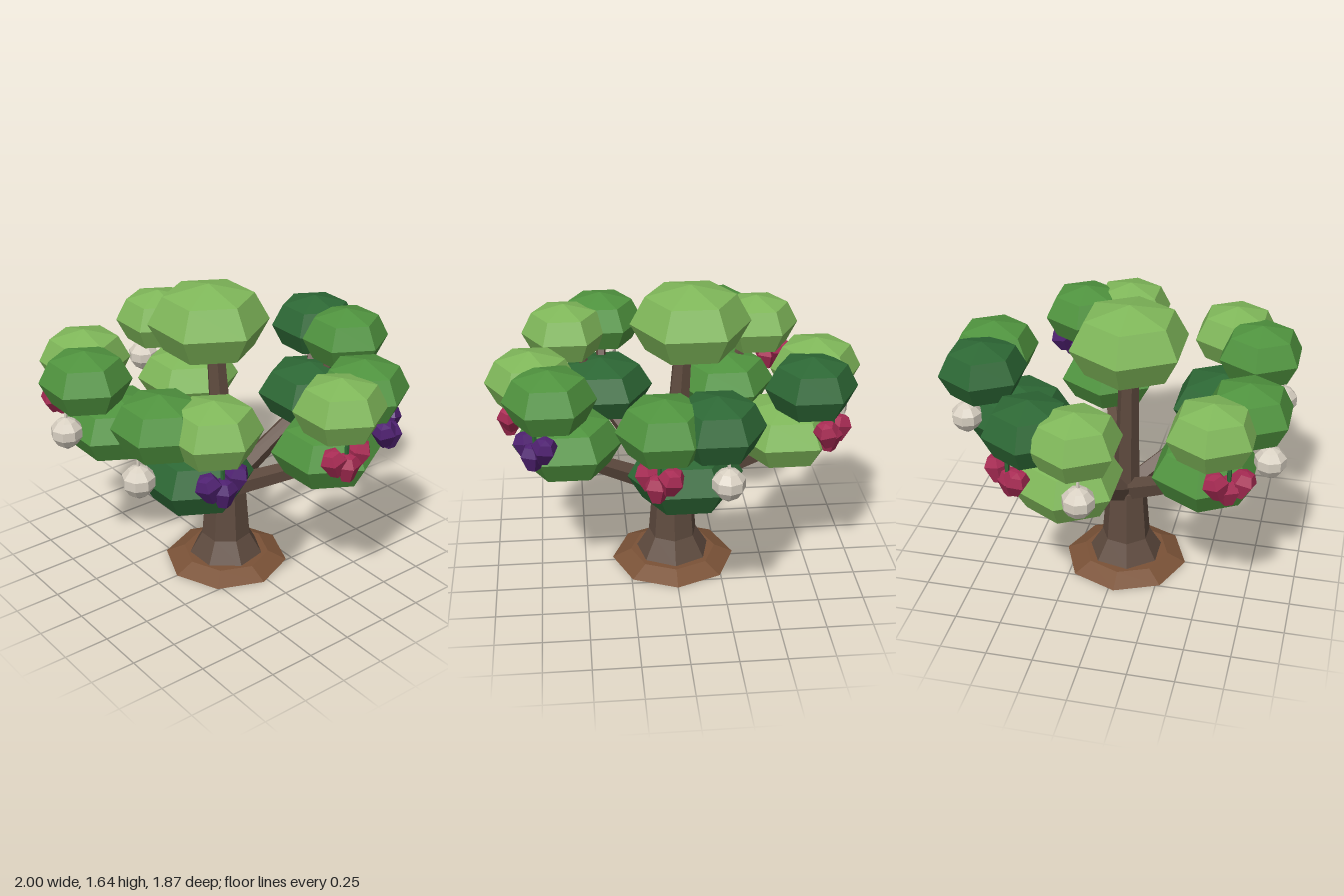
import * as THREE from 'three';

const mat = (name, hex) => {
  const m = new THREE.MeshStandardMaterial({ color: hex });
  m.name = name;
  return m;
};

// Faceted lathe from [radius, height] pairs, listed bottom to top
function facetedLathe(profile, sides, start = 0) {
  const pts = profile.map(([r, y]) => new THREE.Vector2(r, y));
  const g = new THREE.LatheGeometry(pts, sides, start).toNonIndexed();
  g.computeVertexNormals();
  return g;
}

export function createModel() {
  const tree = new THREE.Group();
  tree.name = 'fruitTree';

  const bark = mat('bark', 0x5f4b3f);
  const soil = mat('soil', 0x7a5237);
  const leaf = {
    light: mat('lightLeaf', 0x80b85a),
    mid: mat('midLeaf', 0x50943f),
    dark: mat('darkLeaf', 0x2d6835),
  };
  const fruit = {
    red: mat('redFruit', 0xa82b54),
    purple: mat('purpleFruit', 0x4f2171),
    white: mat('paleFruit', 0xd8d0c2),
  };

  const add = (name, geo, material, parent = tree) => {
    const m = new THREE.Mesh(geo, material);
    m.name = name;
    parent.add(m);
    return m;
  };

  // Tapered faceted limb between two points
  const up = new THREE.Vector3(0, 1, 0);
  const limb = (name, from, to, r0, r1, sides, material, parent = tree) => {
    const a = new THREE.Vector3(...from), b = new THREE.Vector3(...to);
    const d = b.clone().sub(a);
    const g = new THREE.CylinderGeometry(r1, r0, d.length(), sides).toNonIndexed();
    g.computeVertexNormals();
    const m = add(name, g, material, parent);
    m.position.copy(a).add(b).multiplyScalar(0.5);
    m.quaternion.setFromUnitVectors(up, d.normalize());
  };

  // Ground mound and flared trunk
  const cz = 0.03;
  add('mound', facetedLathe([[0, 0], [0.345, 0], [0.24, 0.05], [0, 0.05]], 8), soil).position.z = cz;
  add('trunk', facetedLathe([[0.21, 0.045], [0.137, 0.17], [0.112, 0.48], [0, 0.5]], 7, Math.PI), bark).position.z = cz;
  limb('centralLimb', [0, 0.44, cz], [-0.06, 1.32, 0.055], 0.075, 0.05, 6, bark);

  // Six-sided leaf clump
  const clumpGeo = facetedLathe([[0, -1], [0.75, -0.71], [1, 0], [0.75, 0.71], [0, 1]], 6, Math.PI / 6);
  const clump = (name, shade, x, y, z, r, h) => {
    const m = add(name, clumpGeo, leaf[shade]);
    m.position.set(x, y, z);
    m.scale.set(r, h, r);
  };
  clump('crown', 'light', -0.1, 1.428, 0.065, 0.325, 0.212);

  // Each bough: one big lower clump [shade, x, z] and two smaller upper clumps
  const boughs = [
    { low: ['dark', -0.01, -0.575], tops: [['dark', -0.15, -0.72], ['mid', 0.105, -0.73]] },
    { low: ['light', -0.59, -0.145], tops: [['dark', -0.69, -0.31], ['light', -0.757, -0.06]] },
    { low: ['mid', -0.34, 0.52], tops: [['light', -0.53, 0.575], ['mid', -0.29, 0.72]] },
    { low: ['dark', 0.37, 0.5], tops: [['light', 0.57, 0.535], ['mid', 0.36, 0.7]] },
    { low: ['mid', 0.575, -0.19], tops: [['mid', 0.66, -0.35], ['light', 0.753, -0.11]] },
  ];
  for (const { low: [shade, x, z], tops } of boughs) {
    limb('limb', [x * 0.03, 0.46, cz], [x, 0.8, z], 0.065, 0.045, 5, bark);
    clump('lowerClump', shade, x, 0.872, z, 0.293, 0.177);
    for (const [s, tx, tz] of tops) {
      limb('twig', [x, 0.84, z], [tx, 1.2, tz], 0.035, 0.025, 5, bark);
      clump('upperClump', s, tx, 1.2, tz, 0.243, 0.17);
    }
  }

  // Pale single fruits hanging on thin stems
  const paleGeo = facetedLathe(
    [[0, -0.1], [0.055, -0.062], [0.083, -0.02], [0.083, 0.03], [0.05, 0.068], [0, 0.09]], 8);
  for (const [x, z] of [[-0.87, -0.02], [-0.3, 0.845], [0.35, 0.83], [-0.2, -0.81]]) {
    const g = new THREE.Group();
    g.name = 'paleFruit';
    g.position.set(x, 0.935, z);
    tree.add(g);
    add('body', paleGeo, fruit.white, g);
    limb('stem', [0, 0.07, 0], [0, 0.2, 0], 0.01, 0.008, 5, fruit.white, g);
  }

  // Triple fruit clusters: two upper berries and one lower
  const berryGeo = facetedLathe(
    [[0, -0.085], [0.035, -0.07], [0.07, 0.015], [0.045, 0.062], [0, 0.07]], 5);
  const clusters = [
    ['red', 0.865, -0.06, -0.3],
    ['red', 0.14, -0.83, 0.6],
    ['red', -0.64, 0.68, 0.4],
    ['red', -0.79, -0.4, -0.8],
    ['purple', 0.69, 0.575, -0.3],
    ['purple', 0.74, -0.455, 0.5],
  ];
  for (const [color, x, z, turn] of clusters) {
    const g = new THREE.Group();
    g.name = color + 'FruitCluster';
    g.position.set(x, 0.98, z);
    g.rotation.y = turn;
    tree.add(g);
    [[0.01, 0, 0.072], [-0.015, 0.02, -0.07], [0.015, -0.035, 0]].forEach(([bx, by, bz], i) => {
      const b = add('berry', berryGeo, fruit[color], g);
      b.position.set(bx, by, bz);
      b.rotation.set(bz * 4, i * 0.8, 0);
    });
    limb('stem', [0, 0, 0], [0, 0.14, 0], 0.012, 0.012, 5, leaf.dark, g);
  }
  return tree;
}
